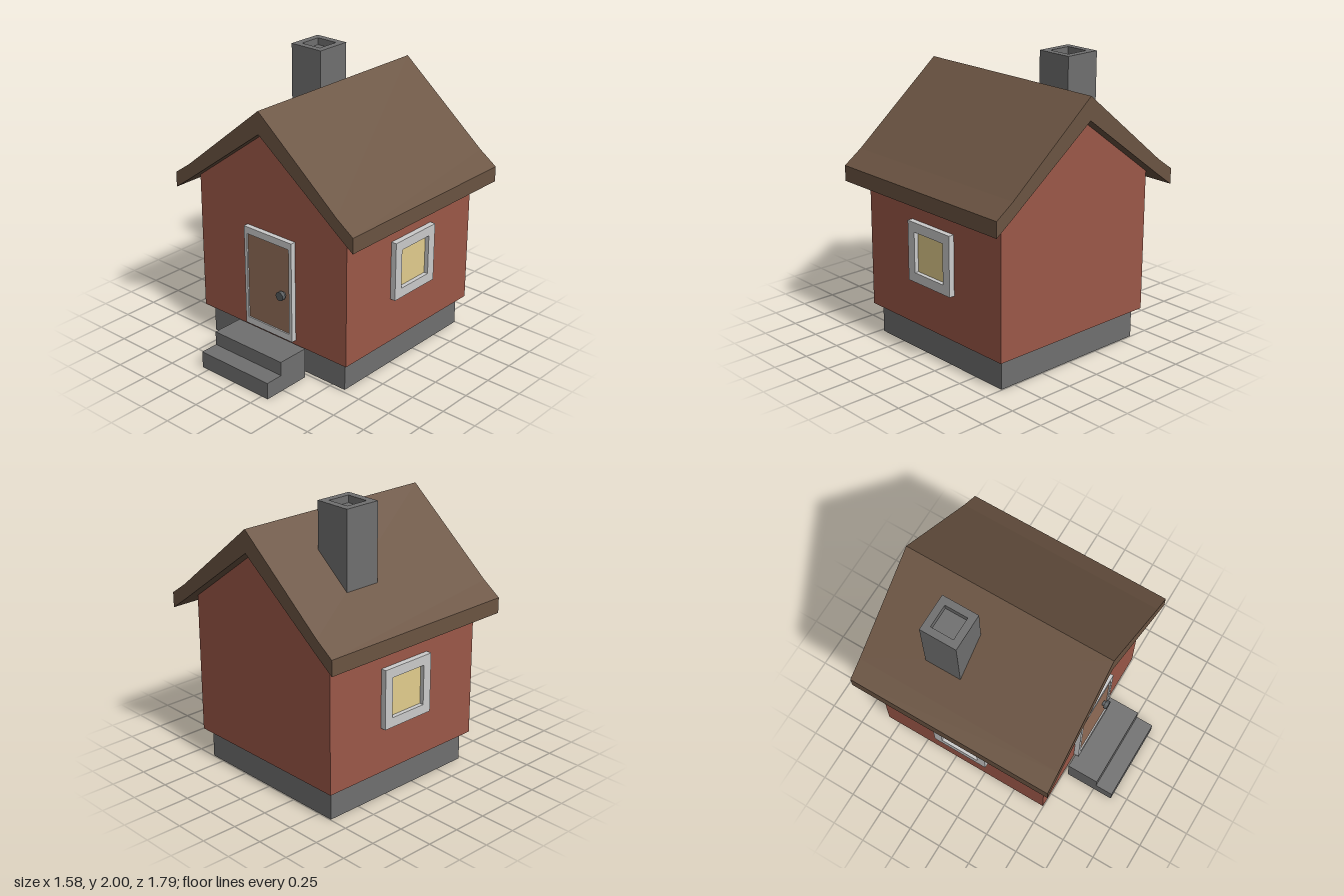
import * as THREE from 'three';

const mat = (color) => new THREE.MeshStandardMaterial({ color, flatShading: true });
const brick = mat(0x9c5848), wood = mat(0x6b5442), stone = mat(0x707070);
const trim = mat(0xcccccc), doorWood = mat(0x936e58), glass = mat(0xe3ce8e), metal = mat(0x565a5c);

function add(parent, name, geometry, material) {
  const mesh = new THREE.Mesh(geometry, material);
  mesh.name = name;
  parent.add(mesh);
  return mesh;
}

// Box given by its extents on each axis
function block(parent, name, material, [x0, x1], [y0, y1], [z0, z1]) {
  const geometry = new THREE.BoxGeometry(x1 - x0, y1 - y0, z1 - z0);
  geometry.translate((x0 + x1) / 2, (y0 + y1) / 2, (z0 + z1) / 2);
  return add(parent, name, geometry, material);
}

const shapeOf = (points) => new THREE.Shape(points.map(([x, y]) => new THREE.Vector2(x, y)));

// Outline in x and y, extruded from z0 to z1
function prism(shape, z0, z1) {
  const geometry = new THREE.ExtrudeGeometry(shape, { depth: z1 - z0, bevelEnabled: false });
  return geometry.translate(0, 0, z0);
}

// Rectangular outline with a rectangular opening
function frameShape(x0, x1, y0, y1, side, top) {
  const shape = shapeOf([[x0, y0], [x1, y0], [x1, y1], [x0, y1]]);
  const a = x0 + side, b = x1 - side, c = y0 + top, d = y1 - top;
  shape.holes.push(shapeOf([[a, c], [a, d], [b, d], [b, c]]));
  return shape;
}

function makeWindow() {
  const win = new THREE.Group();
  add(win, 'windowFrame', prism(frameShape(-0.208, 0.208, 0.535, 0.955, 0.065, 0.068), -0.01, 0.04), trim);
  block(win, 'windowPane', glass, [-0.15, 0.15], [0.595, 0.895], [-0.01, 0.01]);
  return win;
}

export function createModel() {
  const house = new THREE.Group();
  house.name = 'house';

  // Foundation
  block(house, 'foundation', stone, [-0.608, 0.608], [0, 0.2], [-0.745, 0.475]);

  // Gabled walls, with a chamfered underside meeting the foundation
  const gable = shapeOf([[-0.655, 0.212], [0.655, 0.212], [0.655, 1.215], [0, 1.7], [-0.655, 1.215]]);
  add(house, 'walls', prism(gable, -0.79, 0.52), brick);
  const sill = new THREE.BoxGeometry(1.31, 0.015, 1.31);
  const p = sill.attributes.position;
  for (let i = 0; i < p.count; i++) {
    if (p.getY(i) < 0) p.setXYZ(i, p.getX(i) * 0.93, p.getY(i), p.getZ(i) * 0.93);
  }
  sill.computeVertexNormals();
  add(house, 'wallSill', sill, brick).position.set(0, 0.2045, -0.135);

  // Roof with slightly flared eaves
  const roof = shapeOf([
    [0, 1.853], [-0.655, 1.315], [-0.788, 1.222], [-0.788, 1.113], [-0.655, 1.208],
    [0, 1.695], [0.655, 1.208], [0.788, 1.113], [0.788, 1.222], [0.655, 1.315],
  ]);
  add(house, 'roof', prism(roof, -0.895, 0.62), wood);

  // Chimney with a recessed flue
  const chimney = new THREE.Group();
  chimney.name = 'chimney';
  house.add(chimney);
  block(chimney, 'chimneyShaft', stone, [-0.48, -0.215], [1.38, 1.95], [-0.48, -0.215]);
  const rim = prism(frameShape(-0.48, -0.215, 0.215, 0.48, 0.05, 0.05), 1.95, 2);
  add(chimney, 'chimneyRim', rim.rotateX(-Math.PI / 2), stone);

  // Front steps, standing just clear of the foundation
  const steps = prism(shapeOf([
    [0.53, 0], [0.895, 0], [0.895, 0.12], [0.765, 0.12], [0.765, 0.22], [0.53, 0.22],
  ]), -0.305, 0.305);
  add(house, 'frontSteps', steps.rotateY(-Math.PI / 2), stone);

  // Door: frame, panel and knob
  const door = new THREE.Group();
  door.name = 'door';
  house.add(door);
  add(door, 'doorFrame', prism(frameShape(-0.213, 0.213, 0.245, 0.975, 0.025, 0.05), 0.51, 0.557), trim);
  block(door, 'doorPanel', doorWood, [-0.19, 0.19], [0.29, 0.93], [0.51, 0.547]);
  [['knobStem', 0.02, 0.03, 0.555], ['doorKnob', 0.032, 0.026, 0.577]].forEach(([name, r, length, z]) => {
    const knob = new THREE.CylinderGeometry(r, r, length, 16).rotateX(Math.PI / 2);
    add(door, name, knob, metal).position.set(0.132, 0.575, z);
  });

  // One window on each side wall
  for (const side of [1, -1]) {
    const win = makeWindow();
    win.name = side > 0 ? 'leftWindow' : 'rightWindow';
    win.position.set(side * 0.655, 0, -0.137);
    win.rotation.y = side * Math.PI / 2;
    house.add(win);
  }

  return house;
}
